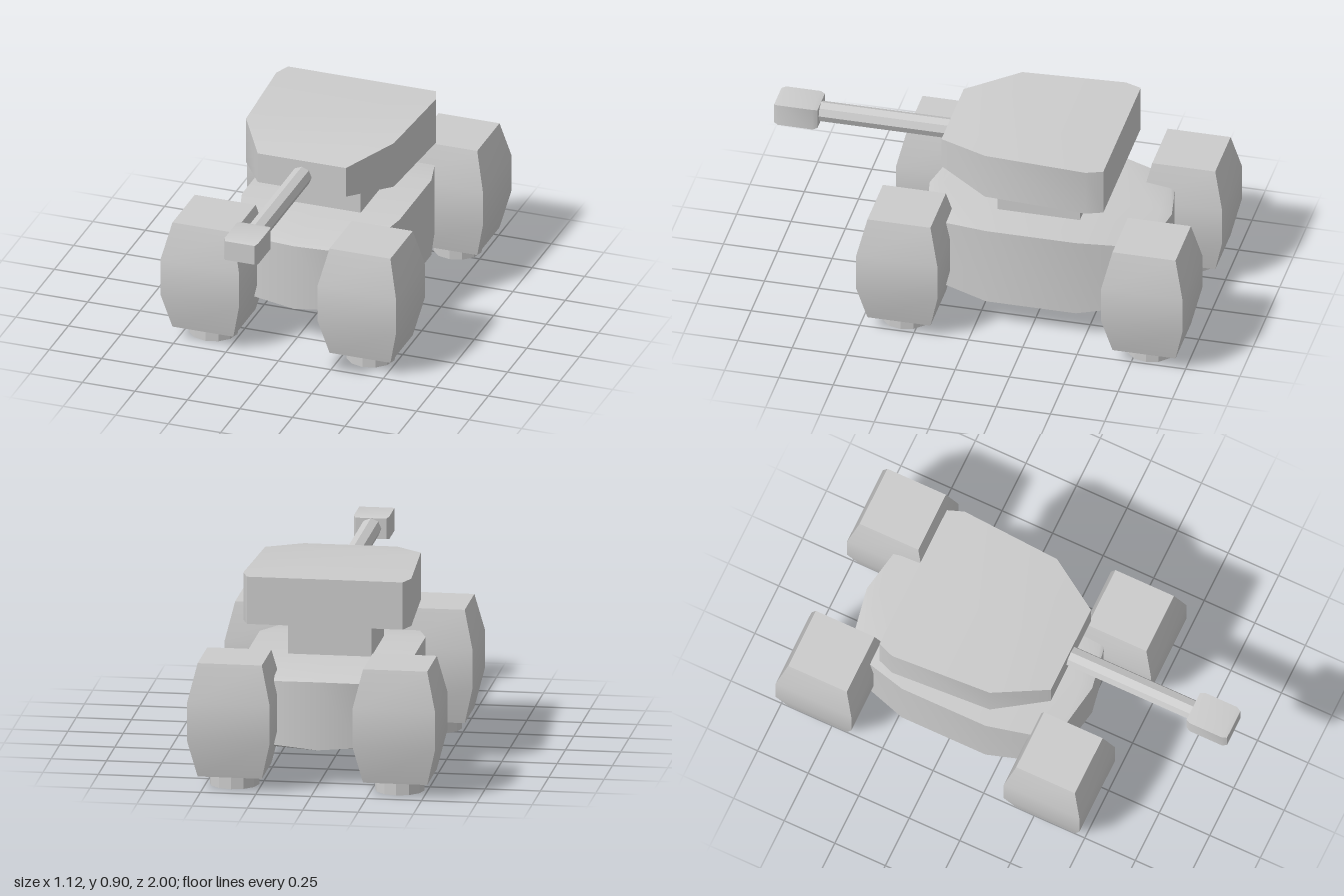
import * as THREE from 'three';
import { toCreasedNormals } from 'three/addons/utils/BufferGeometryUtils.js';

// Capped skin through closed rings, counter-clockwise seen from +z, listed with z rising.
function loft(rings) {
  const pos = [];
  const tri = (...points) => points.forEach((p) => pos.push(...p));
  const n = rings[0].length;
  for (let i = 0; i < rings.length - 1; i++) {
    const a = rings[i], b = rings[i + 1];
    for (let j = 0; j < n; j++) {
      const k = (j + 1) % n;
      tri(a[j], a[k], b[k]);
      tri(a[j], b[k], b[j]);
    }
  }
  const first = rings[0], last = rings[rings.length - 1];
  for (let j = 1; j < n - 1; j++) {
    tri(first[0], first[j + 1], first[j]);
    tri(last[0], last[j], last[j + 1]);
  }
  const geometry = new THREE.BufferGeometry();
  geometry.setAttribute('position', new THREE.Float32BufferAttribute(pos, 3));
  return toCreasedNormals(geometry, 0.6);
}

// Rectangular ring: half width, half height, station z
const rect = ([w, h, z]) => [[w, h, z], [-w, h, z], [-w, -h, z], [w, -h, z]];

// Hull ring: half width, half height and z at the edge, then half height and z at the middle
const hullRing = ([w, h, z, hm, zm]) => [
  [0, hm, zm], [-w, h, z], [-w, -h, z], [0, -hm, zm], [w, -h, z], [w, h, z],
];

export function createModel() {
  const model = new THREE.Group();
  const smooth = new THREE.MeshStandardMaterial({ color: 0xcccccc });
  const flat = new THREE.MeshStandardMaterial({ color: 0xcccccc, flatShading: true });

  function add(name, geometry, x, y, z, material = smooth, parent = model) {
    const mesh = new THREE.Mesh(geometry, material);
    mesh.name = name;
    mesh.position.set(x, y, z);
    parent.add(mesh);
    return mesh;
  }

  // Hull: front half mirrored to the rear, pointed at both ends
  const half = [
    [0.375, 0.1875, 0.207, 0.1875, 0.207],
    [0.3, 0.158, 0.477, 0.165, 0.5],
    [0.2, 0.147, 0.522, 0.157, 0.557],
  ];
  const rear = half.map(([w, h, z, hm, zm]) => [w, h, -z, hm, -zm]).reverse();
  add('hull', loft([...rear, ...half].map(hullRing)), 0, 0.3225, -0.257);

  // Turret and its neck
  add('turretNeck', new THREE.BoxGeometry(0.376, 0.22, 0.38), 0, 0.59, -0.247);
  add('turret', loft([
    [0.352, 0.109, -0.585],
    [0.38, 0.109, -0.51],
    [0.352, 0.109, -0.04],
    [0.21, 0.072, 0.195],
  ].map(rect)), 0, 0.787, 0);

  // Gun
  const barrel = new THREE.CylinderGeometry(0.047, 0.047, 0.66, 8);
  barrel.rotateX(Math.PI / 2);
  add('barrel', barrel, 0, 0.782, 0.49, flat);
  add('muzzle', loft([
    [0.07, 0.047, 0.8],
    [0.08, 0.052, 0.82],
    [0.08, 0.052, 0.98],
    [0.07, 0.047, 1],
  ].map(rect)), 0, 0.782, 0);

  // Four bulging pods, each on a round foot
  const podGeometry = loft([
    [0.145, 0.145, 0.062],
    [0.187, 0.187, 0.236],
    [0.187, 0.187, 0.41],
    [0.145, 0.145, 0.585],
  ].map(rect));
  podGeometry.rotateX(-Math.PI / 2);
  const footGeometry = new THREE.CylinderGeometry(0.112, 0.112, 0.07, 12);
  for (const [end, z] of [['front', 0.315], ['rear', -0.813]]) {
    for (const [side, x] of [['Left', 0.374], ['Right', -0.374]]) {
      const leg = new THREE.Group();
      leg.name = `${end}${side}Leg`;
      leg.position.set(x, 0, z);
      add('pod', podGeometry, 0, 0, 0, smooth, leg);
      add('foot', footGeometry, 0, 0.035, 0, flat, leg);
      model.add(leg);
    }
  }
  return model;
}
